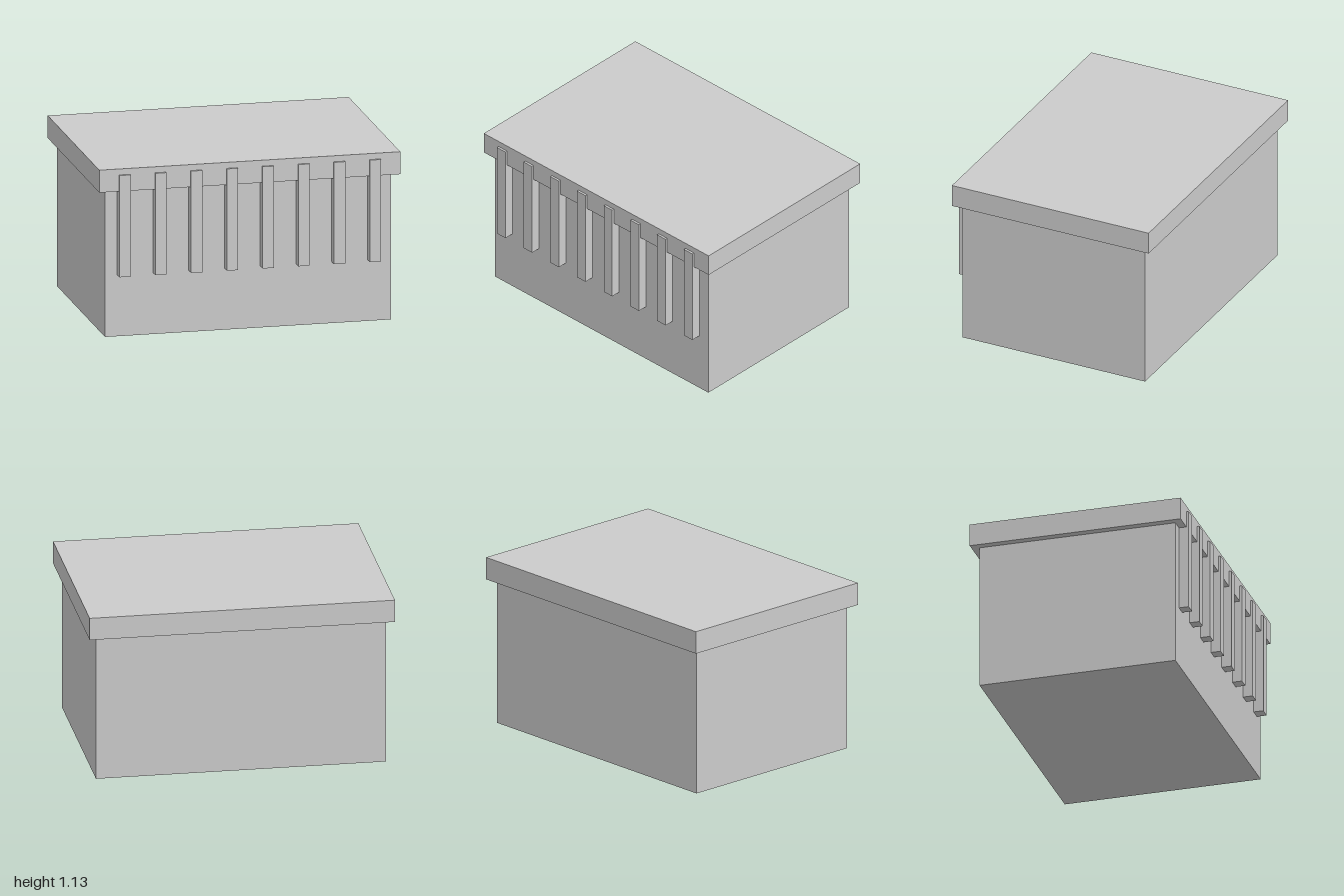
import * as THREE from 'three';

const material = new THREE.MeshStandardMaterial({ color: 0xcccccc, flatShading: true });

// Box given by its lower and upper corners
function block(name, [x0, y0, z0], [x1, y1, z1]) {
  const mesh = new THREE.Mesh(new THREE.BoxGeometry(x1 - x0, y1 - y0, z1 - z0), material);
  mesh.name = name;
  mesh.position.set((x0 + x1) / 2, (y0 + y1) / 2, (z0 + z1) / 2);
  return mesh;
}

export function createModel() {
  const model = new THREE.Group();
  model.name = 'slattedBox';

  // Main body and overhanging lid
  model.add(block('body', [-0.95, 0, -0.667], [0.95, 0.98, 0.655]));
  model.add(block('lid', [-1, 0.98, -0.718], [1, 1.13, 0.705]));

  // Row of upright slats across the front, overlapping the lid edge
  const slats = new THREE.Group();
  slats.name = 'frontSlats';
  const count = 8, spacing = 0.2375, halfWidth = 0.0375;
  for (let i = 0; i < count; i++) {
    const x = (i - (count - 1) / 2) * spacing;
    slats.add(block(`slat${i + 1}`, [x - halfWidth, 0.41, 0.645], [x + halfWidth, 1.09, 0.72]));
  }
  model.add(slats);

  return model;
}
